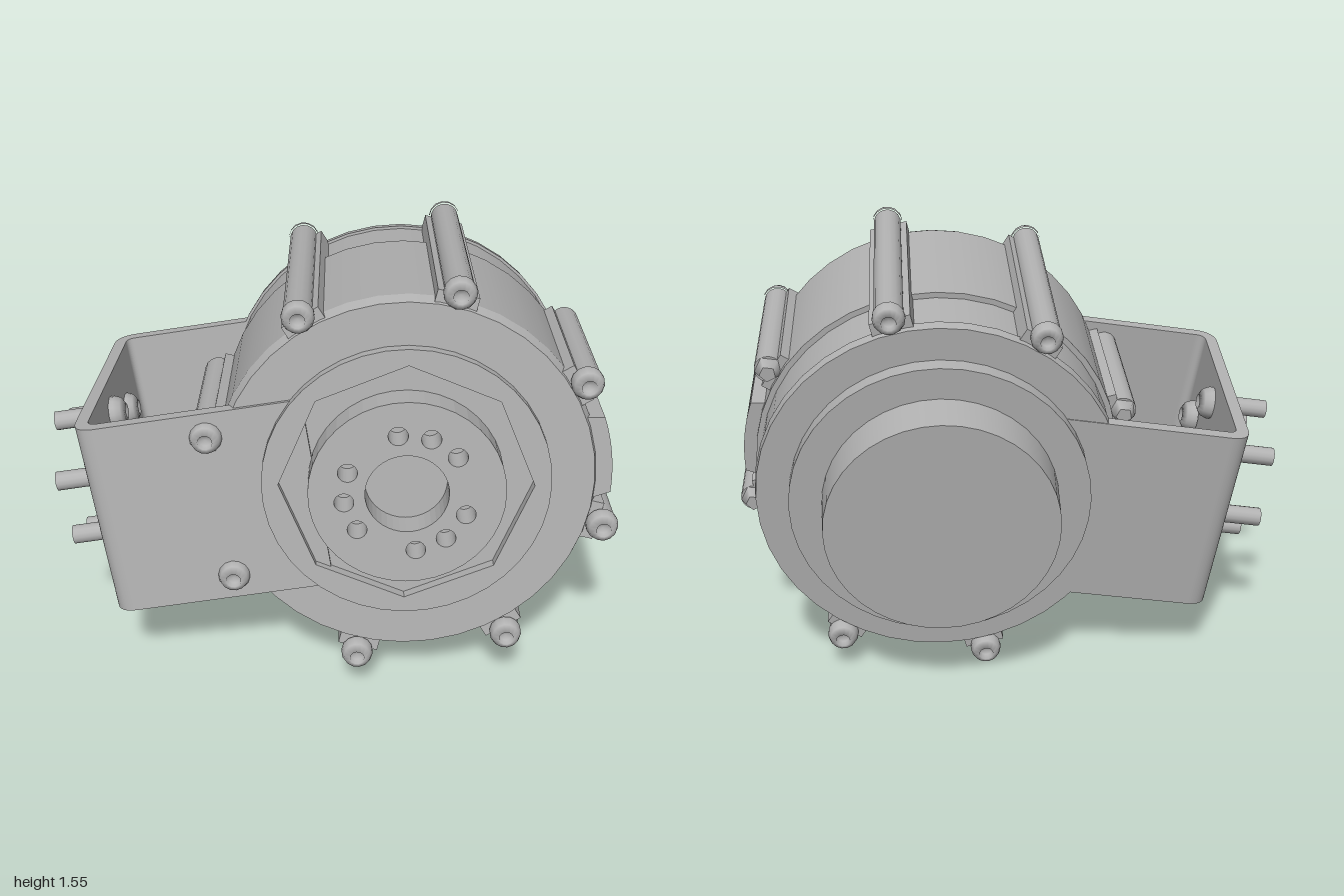
import * as THREE from 'three';

export function createModel() {
  const model = new THREE.Group();
  const metal = new THREE.MeshStandardMaterial({ color: 0xb2b2b2 });
  metal.name = 'grey metal';

  // Whole unit leans: local z is the motor axis, local -x the bracket side
  const motor = new THREE.Group();
  motor.name = 'gearMotor';
  const axis = new THREE.Vector3(0.066, 0.128, 0.99).normalize();
  const side = new THREE.Vector3(0.985, 0.155, -0.086).normalize();
  const up = axis.clone().cross(side).normalize();
  side.crossVectors(up, axis);
  motor.quaternion.setFromRotationMatrix(new THREE.Matrix4().makeBasis(side, up, axis));
  motor.position.set(0.24, 0.77, 0);
  model.add(motor);

  function add(name, geometry, x = 0, y = 0, z = 0, parent = motor) {
    const mesh = new THREE.Mesh(geometry, metal);
    mesh.name = name;
    mesh.position.set(x, y, z);
    parent.add(mesh);
    return mesh;
  }
  // Cylinder along local z between two depths
  function drum(name, rBack, rFront, z0, z1, sides = 40, x = 0, y = 0) {
    const g = new THREE.CylinderGeometry(rFront, rBack, z1 - z0, sides).rotateX(Math.PI / 2);
    return add(name, g, x, y, (z0 + z1) / 2);
  }
  const extrude = (shape, depth) =>
    new THREE.ExtrudeGeometry(shape, { depth, bevelEnabled: false, curveSegments: 20 });
  const rad = degrees => degrees * Math.PI / 180;
  const disc = r => new THREE.Shape().absarc(0, 0, r, 0, Math.PI * 2);
  const hole = (x, y, r) => new THREE.Path().absarc(x, y, r, 0, Math.PI * 2, true);

  // Round-headed bolt with a small socket, pointing along +z
  function bolt(name, x, y, z, r = 0.055) {
    const g = new THREE.Group();
    g.name = name;
    g.position.set(x, y, z);
    const profile = [[r, 0], [r, 0.018], [r * 0.85, 0.04], [r * 0.45, 0.056],
      [r * 0.4, 0.03], [0, 0.03]].map(p => new THREE.Vector2(...p));
    add('boltHead', new THREE.LatheGeometry(profile, 14).rotateX(Math.PI / 2), 0, 0, 0, g);
    motor.add(g);
    return g;
  }

  // Housing
  drum('frontHousing', 0.65, 0.65, -0.115, 0.46);
  drum('frontChamfer', 0.65, 0.635, 0.46, 0.5);
  drum('rearHousing', 0.63, 0.63, -0.34, -0.115);
  drum('rearCover', 0.635, 0.64, -0.372, -0.33);
  drum('rearFlange', 0.52, 0.52, -0.436, -0.36);
  drum('rearCap', 0.4, 0.408, -0.604, -0.43);

  // Front bearing ring with an eight-sided pocket
  const ring = disc(0.487);
  const pocket = [];
  for (let i = 0; i < 8; i++) {
    const t = rad(-9 - 45 * i);
    pocket.push(new THREE.Vector2(0.43 * Math.cos(t), 0.43 * Math.sin(t)));
  }
  ring.holes.push(new THREE.Path(pocket));
  add('frontRing', extrude(ring, 0.05), 0, 0, 0.488);

  // Output disc: central bore and three groups of three holes
  const output = disc(0.33);
  output.holes.push(hole(0, 0, 0.14));
  for (const a of [30, 60, 90, 150, 180, 210, 270, 300, 330]) {
    output.holes.push(hole(0.212 * Math.cos(rad(a)), 0.212 * Math.sin(rad(a)), 0.033));
  }
  add('outputDisc', extrude(output, 0.109), 0, 0, 0.495);

  // Eight bolt posts: upper and lower ones run full length, the side ones stop short
  for (let i = 0; i < 8; i++) {
    const t = rad(22.5 + 45 * i);
    const x = 0.688 * Math.cos(t), y = 0.688 * Math.sin(t);
    const long = Math.abs(y) > 0.4;
    const end = long ? -0.35 : -0.09;
    drum('post', 0.05, 0.05, end, 0.5, 16, x, y);
    const web = add('postWeb', new THREE.BoxGeometry(0.09, 0.14, 0.49 - end),
      x * 0.92, y * 0.92, (0.49 + end) / 2);
    web.rotation.z = t;
    bolt('frontBolt', x, y, 0.498);
    if (long) bolt('rearBolt', x, y, end).rotation.y = Math.PI;
    else drum('postTip', 0.03, 0.05, end - 0.04, end, 5, x, y);
  }

  // Raised curved rib between the posts on the free side
  const lug = new THREE.Shape();
  lug.absarc(0, 0, 0.695, rad(-13), rad(10), false);
  lug.absarc(0, 0, 0.6, rad(13), rad(-17), true);
  add('sideLug', extrude(lug, 0.57), 0, 0, -0.085);

  // U-shaped bracket, drawn in plan and extruded upward; its wall spreads toward the front
  const xb = -1.04, xf = -1.072, zf = 0.512, zb = -0.375, w = 0.045, r = 0.08, xi = -0.3;
  const u = new THREE.Shape();
  u.moveTo(xi, -zf);
  u.lineTo(xi, -zf + w);
  u.lineTo(xf + r, -zf + w);
  u.quadraticCurveTo(xf + w, -zf + w, xf + w, -zf + r);
  u.lineTo(xb + w, -zb - r);
  u.quadraticCurveTo(xb + w, -zb - w, xb + r, -zb - w);
  u.lineTo(xi, -zb - w);
  u.lineTo(xi, -zb);
  u.lineTo(xb + r, -zb);
  u.quadraticCurveTo(xb, -zb, xb, -zb - r);
  u.lineTo(xf, -zf + r);
  u.quadraticCurveTo(xf, -zf, xf + r, -zf);
  add('bracket', extrude(u, 0.7).rotateX(-Math.PI / 2), 0, -0.35, 0);

  // Mounting pad with six screws through the bracket wall
  const zc = 0.07, xw = (xb + xf) / 2;
  const pad = add('mountPad', new THREE.CylinderGeometry(0.3, 0.3, 0.02, 8).rotateZ(Math.PI / 2), xw - 0.003, 0, zc);
  pad.rotation.y = Math.atan2(xf - xb, zf - zb);
  for (let i = 0; i < 6; i++) {
    const t = rad(20 + 60 * i);
    const y = 0.24 * Math.sin(t), z = zc + 0.235 * Math.cos(t);
    add('screwShank', new THREE.CylinderGeometry(0.034, 0.034, 0.18, 14).rotateZ(Math.PI / 2), -1.13, y, z);
    bolt('screwHead', xw + w - 0.005, y, z, 0.06).rotation.y = Math.PI / 2;
  }
  return model;
}
